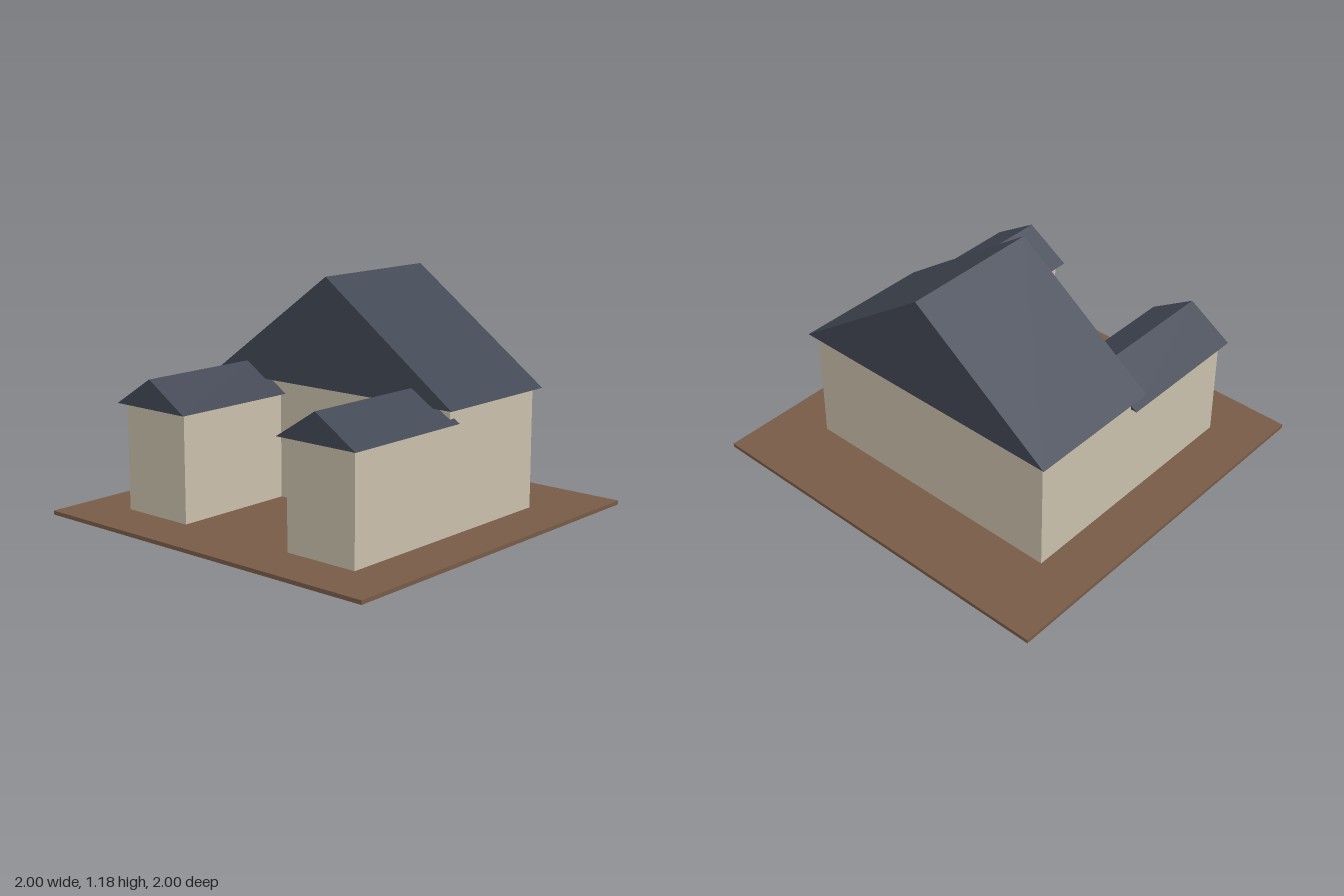
import * as THREE from 'three';

const material = (name, color) => {
  const m = new THREE.MeshStandardMaterial({ color });
  m.name = name;
  return m;
};

export function createModel() {
  const house = new THREE.Group();
  house.name = 'house';
  const wall = material('beige wall', 0xcbc1ac);
  const slate = material('slate roof', 0x434855);
  const brown = material('brown wood', 0x795c47);

  const add = (name, geometry, mat) => {
    const mesh = new THREE.Mesh(geometry, mat);
    mesh.name = name;
    house.add(mesh);
    return mesh;
  };

  // Box given by its lower and upper bounds
  const box = (name, mat, [x0, y0, z0], [x1, y1, z1]) =>
    add(name, new THREE.BoxGeometry(x1 - x0, y1 - y0, z1 - z0), mat)
      .position.set((x0 + x1) / 2, (y0 + y1) / 2, (z0 + z1) / 2);

  // Solid gable roof with its ridge along z
  const gable = (name, x, halfWidth, eave, ridge, z0, z1) => {
    const shape = new THREE.Shape([
      new THREE.Vector2(-halfWidth, eave),
      new THREE.Vector2(halfWidth, eave),
      new THREE.Vector2(0, ridge),
    ]);
    const geometry = new THREE.ExtrudeGeometry(shape, { depth: z1 - z0, bevelEnabled: false });
    add(name, geometry, slate).position.set(x, 0, z0);
  };

  // Ground slab
  box('ground', brown, [-1, 0, -1], [1, 0.02, 1]);

  // Main hall
  box('mainWalls', wall, [-0.733, 0.02, -0.6], [0.733, 0.627, 0.067]);
  gable('mainRoof', 0, 0.767, 0.627, 1.18, -0.633, 0.1);
  box('door', brown, [-0.08, 0.02, 0.067], [0.08, 0.318, 0.076]);

  // Two front wings flanking the courtyard
  for (const [side, s] of [['left', 1], ['right', -1]]) {
    const x = s * 0.533;
    box(side + 'WingWalls', wall, [x - 0.2, 0.02, 0.067], [x + 0.2, 0.56, 0.733]);
    gable(side + 'WingRoof', x, 0.233, 0.56, 0.707, 0.033, 0.767);
  }
  return house;
}
